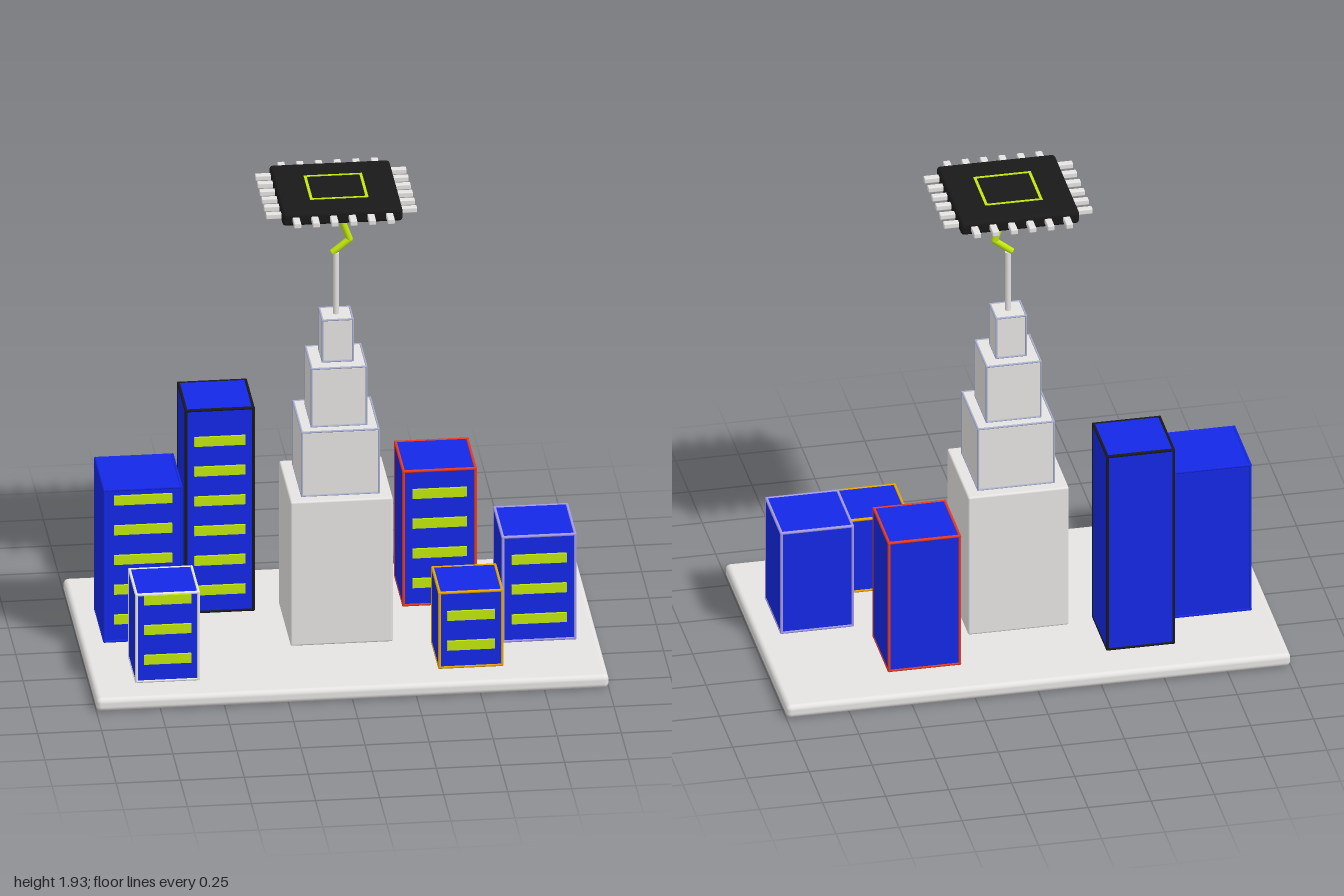
import * as THREE from 'three';
import { RoundedBoxGeometry } from 'three/addons/geometries/RoundedBoxGeometry.js';

const mat = (name, color) => Object.assign(new THREE.MeshStandardMaterial({ color }), { name });

export function createModel() {
  const stone = mat('stoneGrey', 0xe6e4e2);
  const blue = mat('blue', 0x1428e6);
  const lime = mat('lime', 0xc4ea0c);
  const black = mat('black', 0x191919);
  const red = mat('red', 0xff4026);
  const amber = mat('amber', 0xffb800);
  const lavender = mat('lavender', 0xb0a6f8);
  const white = mat('white', 0xf8f8f8);
  const slate = mat('slate', 0xa8b0d0);

  const root = new THREE.Group();
  root.name = 'chipCity';

  const add = (parent, name, geometry, material, x = 0, y = 0, z = 0) => {
    const mesh = new THREE.Mesh(geometry, material);
    mesh.name = name;
    mesh.position.set(x, y, z);
    parent.add(mesh);
    return mesh;
  };
  const group = (name) => {
    const g = new THREE.Group();
    g.name = name;
    root.add(g);
    return g;
  };

  // Round rod between two points
  const addRod = (parent, name, a, b, r, material) => {
    const d = b.clone().sub(a);
    const rod = add(parent, name, new THREE.CylinderGeometry(r, r, d.length(), 12), material);
    rod.position.copy(a).add(b).multiplyScalar(0.5);
    rod.quaternion.setFromUnitVectors(new THREE.Vector3(0, 1, 0), d.normalize());
  };

  // Thin round trim along all twelve edges of a box, sunk halfway into it
  const addTrim = (parent, size, centre, r, material) => {
    for (let axis = 0; axis < 3; axis++) {
      const u = (axis + 1) % 3, v = (axis + 2) % 3;
      for (const su of [-1, 1]) for (const sv of [-1, 1]) {
        const a = [...centre];
        a[u] += su * (size[u] - r) / 2;
        a[v] += sv * (size[v] - r) / 2;
        const b = [...a];
        a[axis] -= size[axis] / 2;
        b[axis] += size[axis] / 2;
        addRod(parent, 'edgeTrim', new THREE.Vector3(...a), new THREE.Vector3(...b), r, material);
      }
    }
  };

  // Ground slab
  add(root, 'groundSlab', new RoundedBoxGeometry(2, 0.055, 1.16, 3, 0.02), stone, 0, 0.0275, 0);

  // Stepped tower: half width, bottom, top
  const tower = group('tower');
  [[0.2, 0.07, 0.683], [0.152, 0.683, 0.957], [0.109, 0.957, 1.206], [0.061, 1.21, 1.389]]
    .forEach(([r, y0, y1], i) => {
      const h = y1 - y0, y = (y0 + y1) / 2;
      add(tower, 'towerTier', new RoundedBoxGeometry(2 * r, h, 2 * r, 2, 0.008), stone, 0, y, 0);
      if (i) addTrim(tower, [2 * r, h, 2 * r], [0, y, 0], 0.004, slate);
    });
  add(tower, 'antenna', new THREE.CylinderGeometry(0.012, 0.012, 0.26, 16), stone, 0, 1.516, 0);

  // Lightning bolt
  const bolt = group('lightningBolt');
  const pts = [[0, 1.847], [0.053, 1.702], [-0.015, 1.648]].map(([x, y]) => new THREE.Vector3(x, y, 0));
  addRod(bolt, 'boltUpper', pts[0], pts[1], 0.013, lime);
  addRod(bolt, 'boltLower', pts[1], pts[2], 0.013, lime);
  add(bolt, 'boltElbow', new THREE.SphereGeometry(0.013, 12, 8), lime, pts[1].x, pts[1].y, 0);

  // Chip with pins on four sides
  const chip = group('chip');
  add(chip, 'chipBody', new RoundedBoxGeometry(0.47, 0.055, 0.47, 3, 0.015), black, 0, 1.9, 0);
  for (let side = 0; side < 4; side++) {
    const row = new THREE.Group();
    row.name = 'pinRow';
    row.rotation.y = side * Math.PI / 2;
    for (let i = 0; i < 6; i++) {
      add(row, 'pin', new RoundedBoxGeometry(0.028, 0.022, 0.08, 2, 0.004), stone, (i - 2.5) * 0.073, 1.9, 0.255);
    }
    // Square outline on both faces
    for (const y of [1.9265, 1.873]) {
      add(row, 'chipOutline', new THREE.BoxGeometry(0.228, 0.006, 0.011), lime, 0, y, 0.1085);
    }
    chip.add(row);
  }

  // Buildings: x range, top, z range, window rows, trim
  const buildings = [
    [-0.915, -0.61, 0.718, -0.23, 0.079, 5, blue],
    [-0.57, -0.302, 0.933, -0.425, -0.156, 6, black],
    [-0.835, -0.587, 0.444, 0.224, 0.47, 3, white],
    [0.276, 0.562, 0.643, -0.415, -0.13, 4, red],
    [0.348, 0.598, 0.392, 0.224, 0.47, 2, amber],
    [0.62, 0.908, 0.517, -0.035, 0.252, 3, lavender],
  ];
  for (const [x0, x1, top, z0, z1, rows, trim] of buildings) {
    const b = group('building');
    const size = [x1 - x0, top - 0.07, z1 - z0];
    const centre = [(x0 + x1) / 2, (top + 0.07) / 2, (z0 + z1) / 2];
    add(b, 'buildingBlock', new THREE.BoxGeometry(...size), blue, ...centre);
    addTrim(b, size, centre, 0.006, trim);
    for (let i = 0; i < rows; i++) {
      add(b, 'windowStrip', new THREE.BoxGeometry(size[0] * 0.745, 0.039, 0.0095), lime,
        centre[0], 0.167 + i * 0.1265, z1 + 0.0047);
    }
  }
  return root;
}
